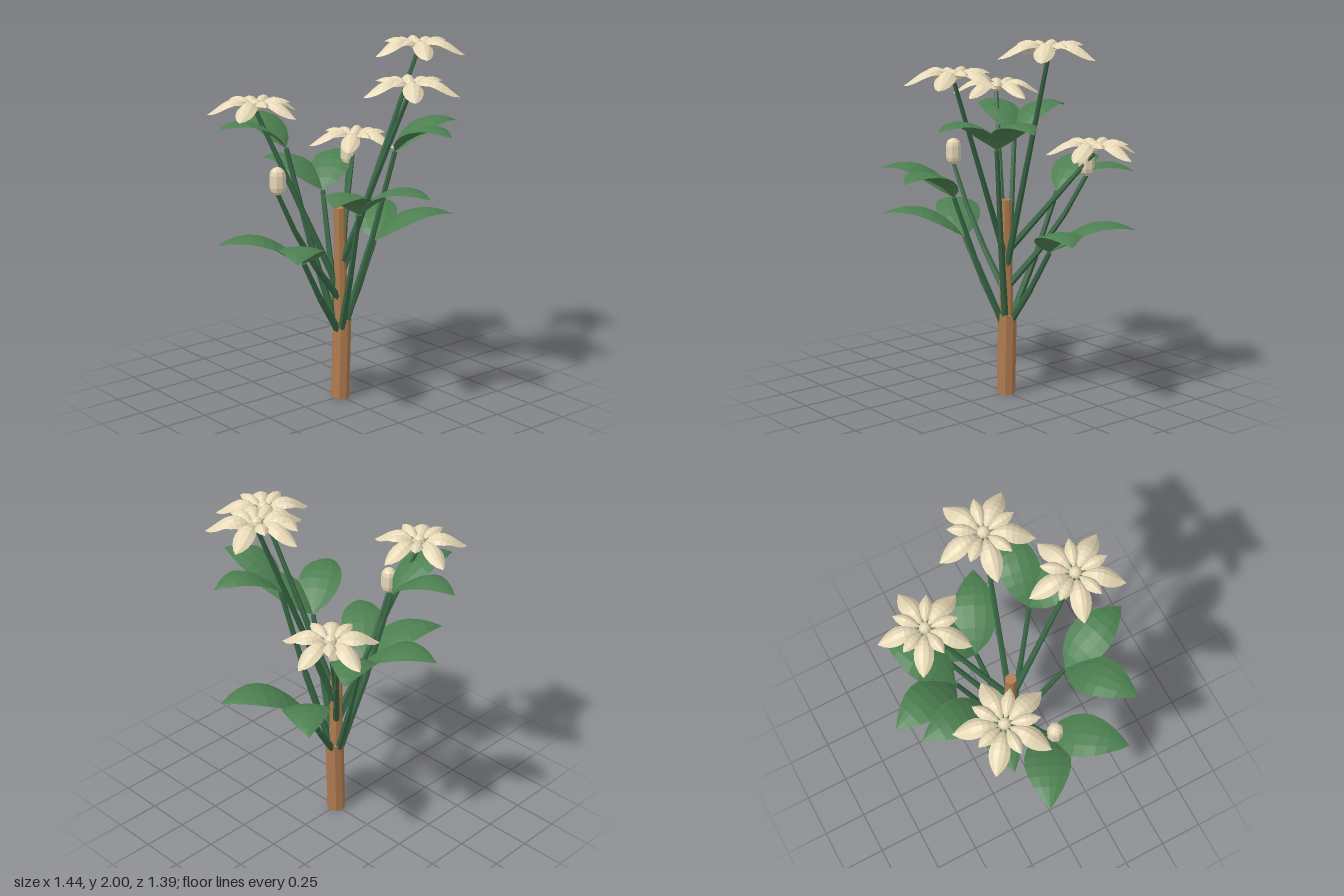
import * as THREE from 'three';

const paint = (color) => new THREE.MeshStandardMaterial({ color, flatShading: true, side: THREE.DoubleSide });
const WOOD = paint(0xb07c50), STEM = paint(0x396745), LEAF = paint(0x4c7f50), PETAL = paint(0xe6d8b6);
const V = (x, y, z) => new THREE.Vector3(x, y, z);

function add(parent, name, geometry, material) {
  const mesh = new THREE.Mesh(geometry, material);
  mesh.name = name;
  parent.add(mesh);
  return mesh;
}

// Tapered rod between two points
function rod(parent, name, a, b, ra, rb, material, sides = 6) {
  const mesh = add(parent, name, new THREE.CylinderGeometry(rb, ra, a.distanceTo(b), sides), material);
  mesh.position.copy(a).lerp(b, 0.5);
  mesh.quaternion.setFromUnitVectors(V(0, 1, 0), b.clone().sub(a).normalize());
}

// Arched blade along +x: peak = place of greatest width, drop = how far the edges hang
function blade({ length, width, rise, bend, peak, drop, rows }) {
  const geo = new THREE.PlaneGeometry(1, 1, rows, 4).rotateX(-Math.PI / 2);
  const pos = geo.attributes.position;
  const power = Math.log(0.5) / Math.log(peak);
  for (let i = 0; i < pos.count; i++) {
    const t = pos.getX(i) + 0.5, side = pos.getZ(i) * 2;
    const w = Math.pow(Math.max(0, Math.sin(Math.PI * Math.pow(t, power))), 0.9);
    const y = rise * Math.sin(bend * Math.pow(t, 0.88)) - drop * w * side * side;
    pos.setXYZ(i, t * length, y, side * w * width / 2);
  }
  geo.computeVertexNormals();
  return geo;
}

// Jointed stem, thinner with every segment; bulge pushes the middle outwards
function stem(parent, name, start, end, radii, bulge) {
  const out = V(end.x - start.x, 0, end.z - start.z).normalize();
  const at = (t) => start.clone().lerp(end, t).addScaledVector(out, bulge * 4 * t * (1 - t));
  radii.forEach((r, i) =>
    rod(parent, name, at(i / radii.length), at((i + 1) / radii.length), r, r * 0.85, STEM));
}

function leafPair(parent, end, length, width, rise) {
  const group = new THREE.Group();
  group.name = 'leafBranch';
  const out = V(end.x, 0, end.z).normalize();
  stem(group, 'leafStem', out.clone().multiplyScalar(0.02).setY(0.4), end, [0.021, 0.016], 0.012);
  const heading = Math.atan2(-end.z, end.x);
  for (const side of [-1, 1]) {
    const leaf = add(group, 'leaf',
      blade({ length, width, rise, bend: 2.3, peak: 0.42, drop: 0.025, rows: 8 }), LEAF);
    leaf.position.copy(end);
    leaf.rotation.y = heading + side * 0.65;
  }
  parent.add(group);
}

function flower(parent, center, startY, turn) {
  const group = new THREE.Group();
  group.name = 'flower';
  const base = center.clone().add(V(0, -0.03, 0));
  stem(group, 'flowerStem', V(0, startY, 0), base, [0.02, 0.017, 0.014], 0);
  const head = new THREE.Group();
  head.name = 'flowerHead';
  head.position.copy(center);
  const outer = { length: 0.24, width: 0.108, rise: 0.055, bend: 3.75, peak: 0.54, drop: 0.034, rows: 8, lift: -0.015 };
  const inner = { length: 0.16, width: 0.07, rise: 0.05, bend: 2.6, peak: 0.54, drop: 0.025, rows: 6, lift: -0.005 };
  for (let i = 0; i < 5; i++) {
    const angle = THREE.MathUtils.degToRad(turn + i * 72);
    [outer, inner].forEach((shape, k) => {
      const a = angle + k * Math.PI / 5;
      const petal = add(head, k ? 'innerPetal' : 'outerPetal', blade(shape), PETAL);
      petal.position.set(Math.cos(a) * 0.023, shape.lift, -Math.sin(a) * 0.023);
      petal.rotation.y = a;
    });
  }
  const eye = add(head, 'flowerCentre', new THREE.SphereGeometry(0.034, 8, 6), PETAL);
  eye.position.y = 0.005;
  group.add(head);
  parent.add(group);
}

function bud(parent, center, startY) {
  const group = new THREE.Group();
  group.name = 'budBranch';
  stem(group, 'budStem', V(0, startY, 0), center.clone().add(V(0, -0.07, 0)), [0.02, 0.017, 0.014], 0.035);
  const mesh = add(group, 'bud', new THREE.CapsuleGeometry(0.043, 0.066, 3, 8), PETAL);
  mesh.position.copy(center);
  parent.add(group);
}

export function createModel() {
  const model = new THREE.Group();
  model.name = 'floweringPlant';

  // Woody trunk in two steps
  rod(model, 'lowerTrunk', V(0, 0, 0), V(0.013, 0.46, 0), 0.052, 0.052, WOOD, 8);
  rod(model, 'upperTrunk', V(0.005, 0.44, 0), V(-0.005, 1.1, 0), 0.038, 0.032, WOOD, 8);

  // Three tiers of leaf pairs, each repeated half a turn round
  for (const s of [1, -1]) {
    leafPair(model, V(0.3 * s, 0.85, -0.06 * s), 0.465, 0.255, 0.17);
    leafPair(model, V(0.1 * s, 1.13, -0.28 * s), 0.435, 0.24, 0.18);
    leafPair(model, V(0.2 * s, 1.42, 0.22 * s), 0.405, 0.22, 0.175);
  }

  // Blossoms: centre, height where the stem leaves the trunk, turn of the petals
  flower(model, V(-0.385, 1.67, -0.237), 0.62, 71);
  flower(model, V(0.36, 1.4, -0.317), 0.8, 79);
  flower(model, V(0.465, 1.955, 0.095), 0.7, 96);
  flower(model, V(0.115, 1.81, 0.43), 0.76, 90);

  bud(model, V(-0.443, 1.316, 0.027), 0.57);
  bud(model, V(0.31, 1.316, -0.31), 0.6);
  return model;
}
